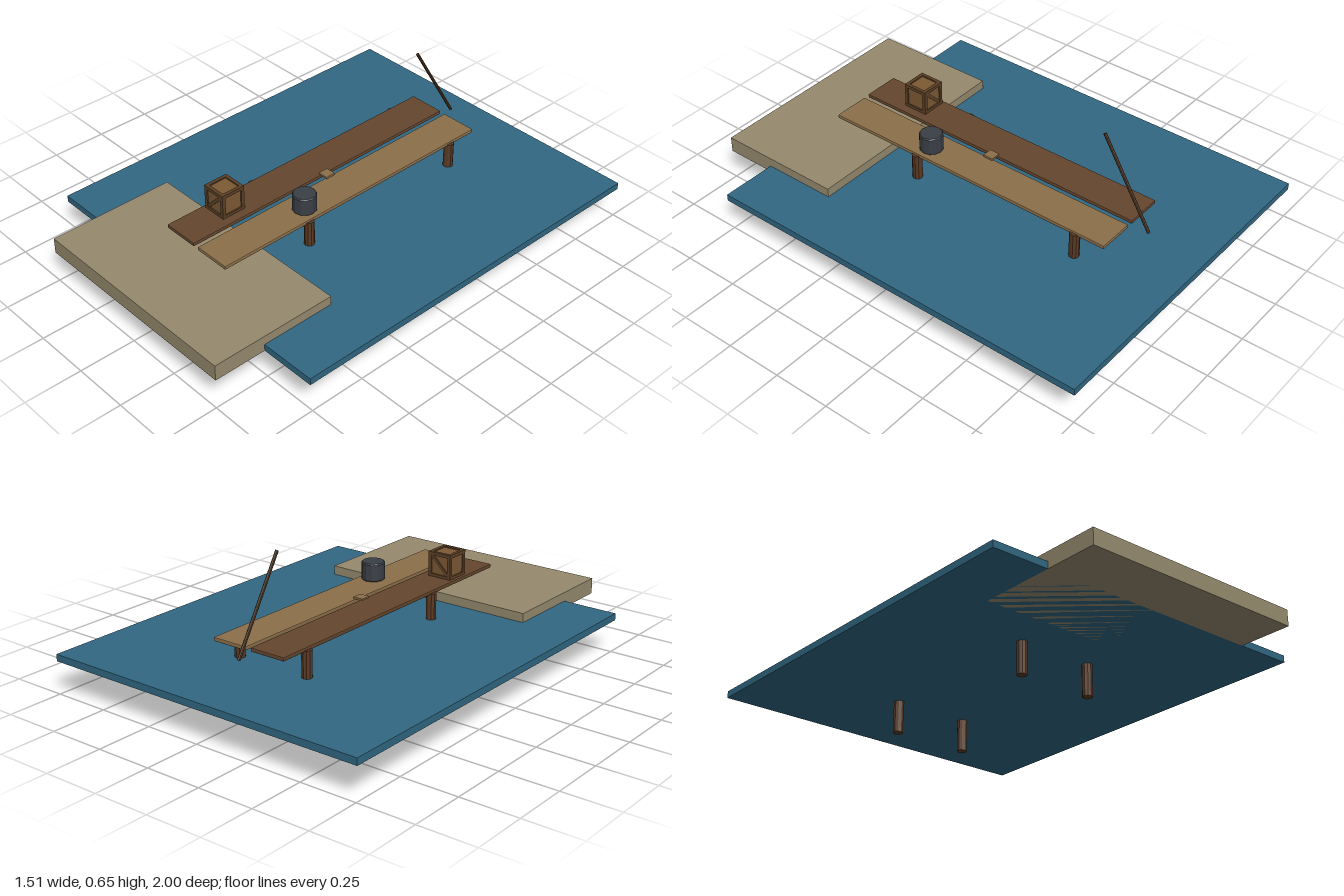
import * as THREE from 'three';
import { RoundedBoxGeometry } from 'three/addons/geometries/RoundedBoxGeometry.js';

const mat = (color) => new THREE.MeshStandardMaterial({ color, flatShading: true });
const WATER = mat(0x316782), SAND = mat(0x968a6e), DARK_WOOD = mat(0x65462e), LIGHT_WOOD = mat(0x8c6f4a);
const POST = mat(0x5a3a24), CRATE = mat(0x7d5934), FRAME = mat(0x5c4026), POLE = mat(0x513721), BARREL = mat(0x3a3f46);

export function createModel() {
  const model = new THREE.Group();

  const add = (name, geometry, material, x, y, z, parent = model) => {
    const mesh = new THREE.Mesh(geometry, material);
    mesh.name = name;
    mesh.position.set(x, y, z);
    parent.add(mesh);
    return mesh;
  };
  // Box given by its lower and upper corner
  const block = (name, material, [x0, y0, z0], [x1, y1, z1], bevel = 0) => {
    const size = [x1 - x0, y1 - y0, z1 - z0];
    const geometry = bevel ? new RoundedBoxGeometry(...size, 1, bevel) : new THREE.BoxGeometry(...size);
    return add(name, geometry, material, (x0 + x1) / 2, (y0 + y1) / 2, (z0 + z1) / 2);
  };

  // Water and beach
  block('water', WATER, [-0.755, 0.14, -1], [0.755, 0.17, 0.765]);
  block('beach', SAND, [-0.505, 0.14, 0.43], [0.505, 0.21, 1]);

  // Deck planks and the small cleat bridging them
  block('darkPlank', DARK_WOOD, [-0.18, 0.279, -0.71], [-0.015, 0.296, 0.675], 0.004);
  block('lightPlank', LIGHT_WOOD, [0.01, 0.276, -0.71], [0.176, 0.293, 0.675], 0.004);
  block('cleat', LIGHT_WOOD, [-0.026, 0.293, -0.042], [0.02, 0.302, 0.004]);

  // Support posts
  const postShape = new THREE.CylinderGeometry(0.022, 0.022, 0.284, 10);
  for (const x of [-0.174, 0.169]) {
    for (const z of [-0.57, 0.236]) add('post', postShape, POST, x, 0.142, z);
  }

  // Leaning pole at the far end
  const low = new THREE.Vector3(-0.023, 0.269, -0.785);
  const high = new THREE.Vector3(-0.023, 0.643, -0.557);
  const along = high.clone().sub(low);
  const middle = low.clone().add(high).multiplyScalar(0.5);
  const pole = add('pole', new THREE.CylinderGeometry(0.007, 0.007, along.length(), 8), POLE, ...middle);
  pole.quaternion.setFromUnitVectors(new THREE.Vector3(0, 1, 0), along.normalize());

  // Barrel with a slightly chamfered rim
  const barrelProfile = [[0, 0], [0.047, 0], [0.051, 0.004], [0.051, 0.074], [0.047, 0.079], [0, 0.079]]
    .map(([r, y]) => new THREE.Vector2(r, y));
  add('barrel', new THREE.LatheGeometry(barrelProfile, 12), BARREL, 0.11, 0.294, 0.207);

  // Crate: inset panels, bars along the twelve edges, diagonal brace front and back
  const crate = new THREE.Group();
  crate.name = 'crate';
  crate.position.set(-0.11, 0.35, 0.437);
  model.add(crate);
  const size = 0.112, bar = 0.015, edge = (size - bar) / 2;
  add('cratePanels', new THREE.BoxGeometry(0.1, 0.1, 0.1), CRATE, 0, 0, 0, crate);
  for (const a of [-edge, edge]) {
    for (const b of [-edge, edge]) {
      add('crateBar', new THREE.BoxGeometry(size, bar, bar), FRAME, 0, a, b, crate);
      add('crateBar', new THREE.BoxGeometry(bar, size, bar), FRAME, a, 0, b, crate);
      add('crateBar', new THREE.BoxGeometry(bar, bar, size), FRAME, a, b, 0, crate);
    }
    const brace = add('crateBrace', new THREE.BoxGeometry(0.125, bar, 0.008), FRAME, 0, 0, Math.sign(a) * 0.05, crate);
    brace.rotation.z = Math.PI / 4;
  }

  return model;
}
